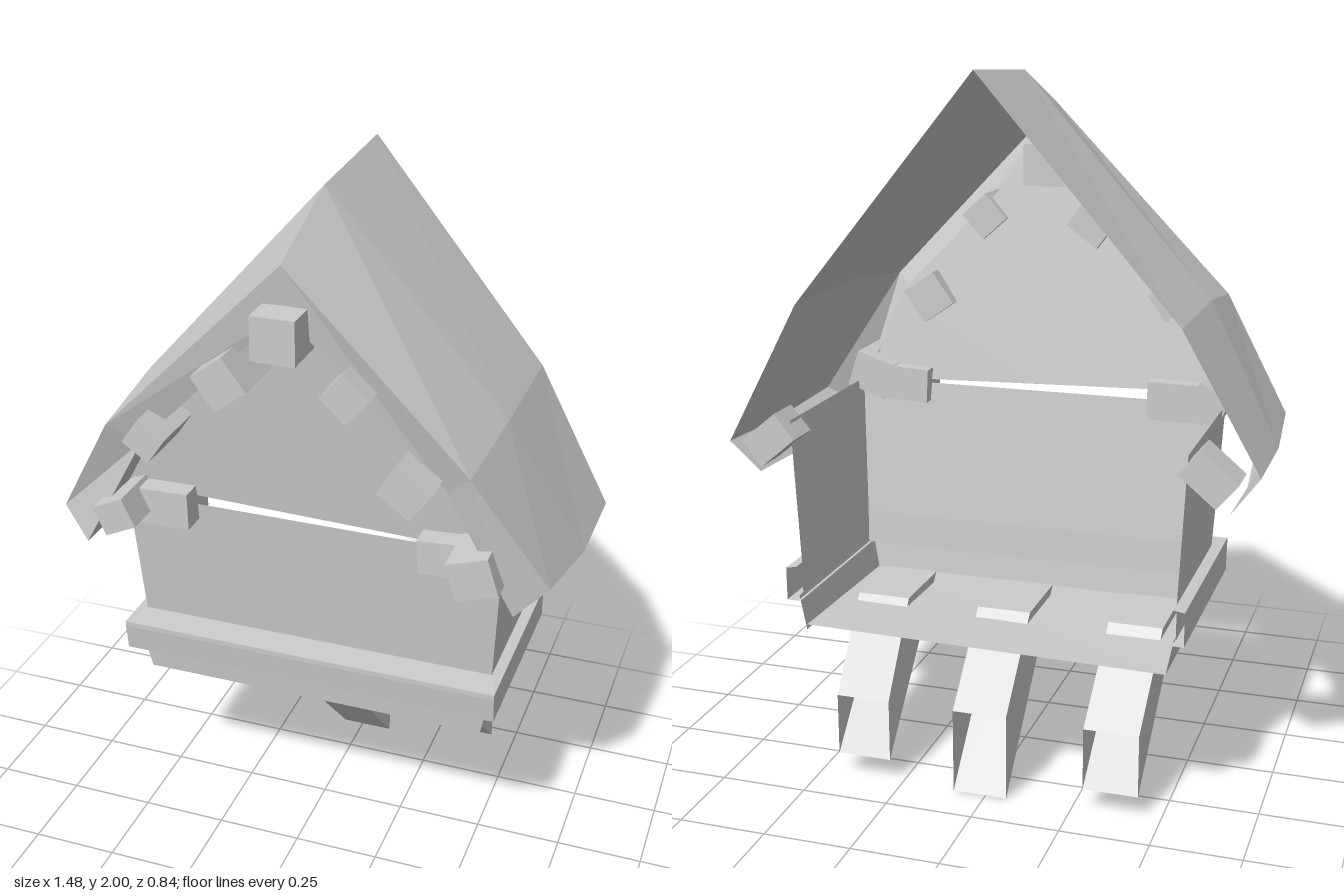
import * as THREE from 'three';

const mat = new THREE.MeshStandardMaterial({ color: 0xcccccc, flatShading: true, side: THREE.DoubleSide });

// Surface through rows of points, one quad between each neighbouring pair
function loft(name, rows, parent) {
  const pos = [];
  for (let r = 0; r < rows.length - 1; r++) {
    for (let c = 0; c < rows[r].length - 1; c++) {
      const a = rows[r][c], b = rows[r][c + 1], d = rows[r + 1][c], e = rows[r + 1][c + 1];
      pos.push(...a, ...b, ...e, ...a, ...e, ...d);
    }
  }
  const g = new THREE.BufferGeometry();
  g.setAttribute('position', new THREE.Float32BufferAttribute(pos, 3));
  g.computeVertexNormals();
  return addMesh(name, g, parent);
}

function addMesh(name, geometry, parent) {
  const m = new THREE.Mesh(geometry, mat);
  m.name = name;
  parent.add(m);
  return m;
}

// Three-sided wall, open at the back; levels are [y, left x, right x, front z]
function openBox(name, back, levels, parent) {
  const rows = levels.map(([y, x0, x1, z]) => [[x0, y, back], [x0, y, z], [x1, y, z], [x1, y, back]]);
  return loft(name, rows, parent);
}

const gableZ = (y) => 0.15 + 0.13 * (y - 1.06);

export function createModel() {
  const group = new THREE.Group();
  group.name = 'gabledDormer';

  // Roof: back, middle, front edge, inner edge of the bargeboard, reveal.
  // Columns run eave underside, eave, kink, ridge, kink, eave, eave underside.
  const lip = [[-0.63, 0.93, 0.26], [-0.63, 0.93, 0.26], [-0.43, 1.29, 0.28], [0.01, 1.74, 0.33],
    [0.43, 1.29, 0.28], [0.62, 0.94, 0.26], [0.62, 0.94, 0.26]];
  loft('roof', [
    [[-0.66, 0.90, -0.38], [-0.74, 1.01, -0.39], [-0.53, 1.38, -0.395], [0.01, 2.0, -0.4],
      [0.52, 1.38, -0.395], [0.74, 0.98, -0.38], [0.65, 0.90, -0.38]],
    [[-0.66, 0.89, -0.1], [-0.74, 1.01, -0.1], [-0.53, 1.38, 0], [0.01, 1.98, 0.03],
      [0.52, 1.38, 0], [0.735, 0.97, -0.1], [0.65, 0.89, -0.1]],
    [[-0.63, 0.93, 0.26], [-0.71, 1.02, 0.23], [-0.52, 1.34, 0.31], [0.01, 1.87, 0.35],
      [0.5, 1.35, 0.31], [0.70, 1.0, 0.19], [0.62, 0.94, 0.26]],
    lip,
    lip.map(([x, y]) => [x, y, gableZ(y)]),
  ], group);

  // Gable panel, leaning slightly forward, with a slit below it
  const gable = [[[-0.54, 1.085], [0.01, 1.07], [0.54, 1.055]],
    [[-0.45, 1.31], [0.01, 1.31], [0.45, 1.31]],
    [[0.01, 1.77], [0.01, 1.77], [0.01, 1.77]]];
  loft('gablePanel', gable.map((row) => row.map(([x, y]) => [x, y, gableZ(y)])), group);

  // Walls, ledge and base, all open at the back
  openBox('walls', -0.37, [[0.54, -0.53, 0.54, 0.105], [0.64, -0.53, 0.54, 0.11],
    [1.05, -0.55, 0.56, 0.15]], group);
  openBox('ledge', -0.41, [[0.64, -0.53, 0.54, 0.11], [0.635, -0.56, 0.57, 0.2],
    [0.62, -0.56, 0.57, 0.2], [0.54, -0.56, 0.57, 0.19], [0.54, -0.52, 0.53, 0.14]], group);
  openBox('base', -0.395, [[0.55, -0.53, 0.54, 0.145], [0.45, -0.51, 0.52, 0.135]], group);
  loft('floor', [[[-0.51, 0.45, -0.395], [0.52, 0.465, -0.395]],
    [[-0.51, 0.45, 0.135], [0.52, 0.45, 0.135]]], group);

  // Slanted brackets, hollow at the cut end, their tops standing just above the floor
  const brackets = [[-0.37, -0.36, 0.07], [0.017, 0.017, 0.005], [0.387, 0.365, 0.07]];
  for (const [topX, endX, low] of brackets) {
    const ring = (x, p, q) => [[x - 0.078, ...p], [x + 0.078, ...p], [x + 0.078, ...q],
      [x - 0.078, ...q], [x - 0.078, ...p]];
    const g = new THREE.Group();
    g.name = 'bracket';
    group.add(g);
    const top = ring(topX, [0.475, 0.08], [0.475, -0.15]);
    loft('bracketSides', [top, ring(endX, [low, -0.375], [0.25, -0.375])], g);
    loft('bracketTop', [[top[0], top[1]], [top[3], top[2]]], g);
  }

  // Blocks: x, y, width, height, turn in degrees, front z, depth
  const blocks = [
    [0.015, 1.70, 0.12, 0.12, 0, 0.425, 0.2],
    [-0.145, 1.55, 0.11, 0.11, 36, 0.40, 0.22],
    [0.185, 1.55, 0.095, 0.095, -42, 0.38, 0.19],
    [-0.38, 1.34, 0.09, 0.09, -35, 0.37, 0.22],
    [0.345, 1.31, 0.11, 0.11, -35, 0.365, 0.22],
    [-0.51, 1.06, 0.10, 0.09, 25, 0.32, 0.22],
    [0.52, 1.07, 0.12, 0.11, 18, 0.33, 0.22],
    [-0.425, 1.055, 0.19, 0.11, 1, 0.22, 0.11],
    [0.41, 1.05, 0.14, 0.10, 3, 0.22, 0.11],
    [-0.61, 1.0, 0.13, 0.09, 40, -0.30, 0.11],
    [0.61, 1.0, 0.13, 0.09, -40, -0.30, 0.11],
  ];
  for (const [x, y, w, h, turn, front, depth] of blocks) {
    const m = addMesh('block', new THREE.BoxGeometry(w, h, depth), group);
    m.position.set(x, y, front - depth / 2);
    m.rotation.z = THREE.MathUtils.degToRad(turn);
  }
  return group;
}
